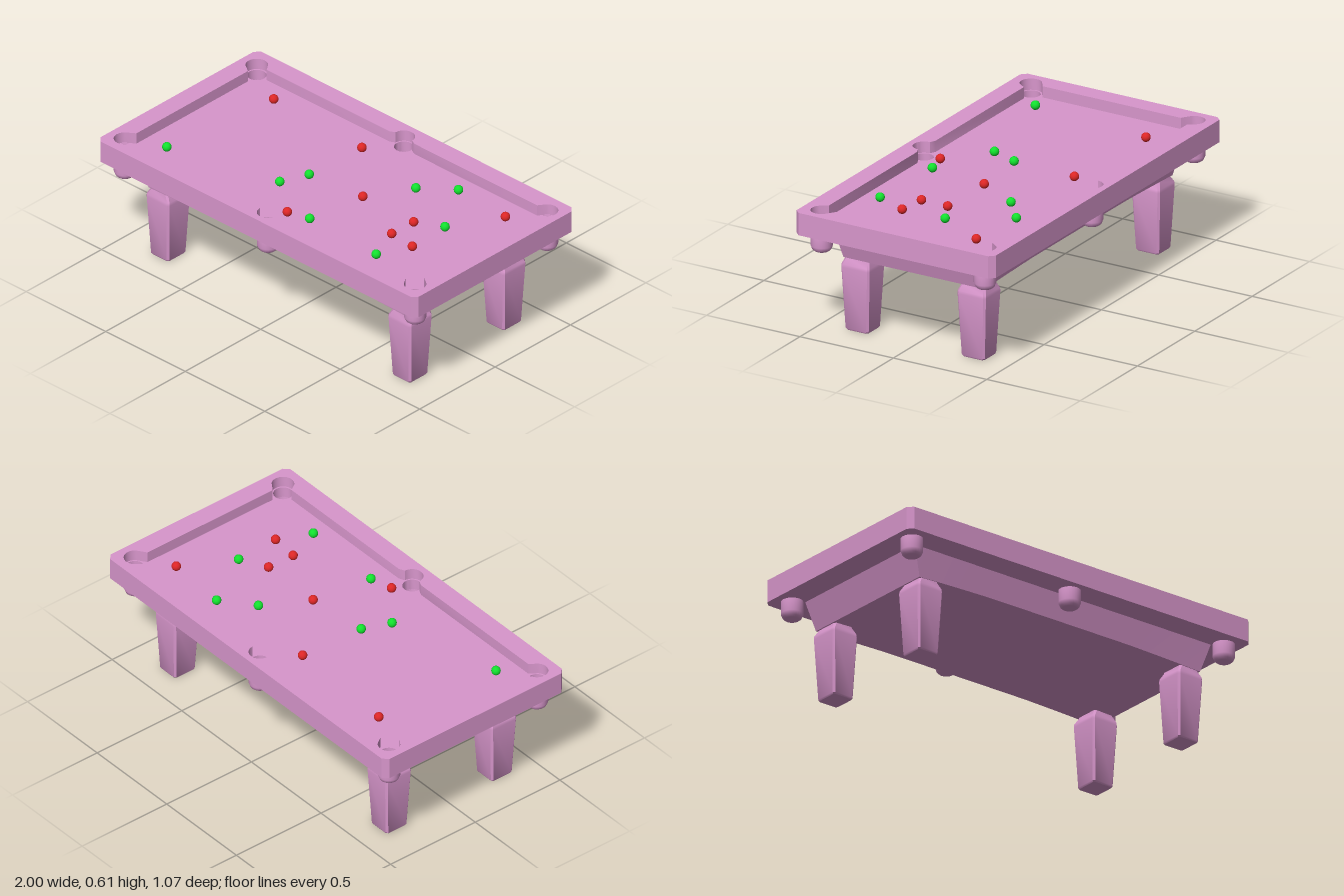
import * as THREE from 'three';
import { toCreasedNormals } from 'three/addons/utils/BufferGeometryUtils.js';

const TOP = 0.607, BED = 0.552, FRAME_BOTTOM = 0.497;
const CORNER = [0.912, 0.437], MIDDLE = [0, 0.45];

const wood = new THREE.MeshStandardMaterial({ color: 0xd896cc });
const red = new THREE.MeshStandardMaterial({ color: 0xdc2626 });
const green = new THREE.MeshStandardMaterial({ color: 0x12e02e });

// Pocket centres as [x, z]
const pockets = [];
for (const sz of [-1, 1]) {
  pockets.push([MIDDLE[0], sz * MIDDLE[1]]);
  for (const sx of [-1, 1]) pockets.push([sx * CORNER[0], sz * CORNER[1]]);
}

// Rectangle with cut corners, anticlockwise, as a list of Vector2
function cutRect(w, d, c) {
  return [[c - w, d], [-w, d - c], [-w, c - d], [c - w, -d], [w - c, -d], [w, c - d], [w, d - c], [w - c, d]]
    .map(([x, y]) => new THREE.Vector2(x, y));
}

function arc([cx, cy], r, from, to, steps) {
  return Array.from({ length: steps + 1 }, (_, i) => {
    const a = THREE.MathUtils.degToRad(from + (to - from) * i / steps);
    return [cx + r * Math.cos(a), cy + r * Math.sin(a)];
  });
}

// Inner edge of the rails: one quarter with its pocket jaws, mirrored round the table
function railOpening() {
  const quarter = [
    ...arc(MIDDLE, 0.052, 78, 0, 7), [0.08, 0.437],
    [0.85, 0.437], ...arc(CORNER, 0.052, 135, -45, 16), [0.904, 0.37],
  ];
  const flip = (pts, sx, sy) => pts.map(([x, y]) => [x * sx, y * sy]);
  const back = [...quarter].reverse();
  const all = [...quarter, ...flip(back, 1, -1), ...flip(quarter, -1, -1), ...flip(back, -1, 1)];
  return new THREE.Path(all.map(([x, y]) => new THREE.Vector2(x, y)));
}

// Horizontal slab between two heights
function slab(shape, y0, y1) {
  const g = new THREE.ExtrudeGeometry(shape, { depth: y1 - y0, bevelEnabled: false, curveSegments: 14 });
  return toCreasedNormals(g.rotateX(-Math.PI / 2).translate(0, y0, 0), 0.6);
}

// Leg lofted from cut-corner sections: [y, half width, half depth]
function legGeometry() {
  const rows = [[0, 0.053, 0.057], [0.008, 0.058, 0.062], [0.31, 0.072, 0.076],
    [0.325, 0.071, 0.075], [0.355, 0.053, 0.064], [0.38, 0.052, 0.063]];
  const rings = rows.map(([y, w, d]) => cutRect(w, d, 0.009).map(p => new THREE.Vector3(p.x, y, p.y)));
  const foot = rings[0], head = rings[rings.length - 1];
  const pos = [];
  const tri = (...pts) => pts.forEach(p => pos.push(p.x, p.y, p.z));
  for (let i = 0; i < 8; i++) {
    const j = (i + 1) % 8;
    for (let r = 0; r < rings.length - 1; r++) {
      const a = rings[r], b = rings[r + 1];
      // Ring order runs from +z round by -x, so this winding faces outwards
      tri(a[i], b[j], b[i]);
      tri(a[i], a[j], b[j]);
    }
    tri(new THREE.Vector3(0, foot[0].y, 0), foot[j], foot[i]);
    tri(new THREE.Vector3(0, head[0].y, 0), head[i], head[j]);
  }
  // Faces wound for a mirrored ring: swap two corners of each
  for (let t = 0; t < pos.length; t += 9) {
    for (let k = 0; k < 3; k++) [pos[t + 3 + k], pos[t + 6 + k]] = [pos[t + 6 + k], pos[t + 3 + k]];
  }
  const g = new THREE.BufferGeometry();
  g.setAttribute('position', new THREE.Float32BufferAttribute(pos, 3));
  return toCreasedNormals(g, 0.6);
}

// Apron: box tapering downwards, with a shallow arch along its lower edge
function apronGeometry() {
  const g = new THREE.BoxGeometry(2, 1, 2, 16, 1, 1).toNonIndexed();
  const p = g.attributes.position;
  for (let i = 0; i < p.count; i++) {
    const x = p.getX(i), low = p.getY(i) < 0;
    const arch = 0.356 + 0.013 * Math.min(1, 1.3 * (1 - x * x));
    p.setXYZ(i, x * (low ? 0.82 : 0.865), low ? arch : FRAME_BOTTOM, p.getZ(i) * (low ? 0.378 : 0.4));
  }
  return toCreasedNormals(g, 0.6);
}

export function createModel() {
  const group = new THREE.Group();
  const add = (name, geometry, material, x = 0, y = 0, z = 0) => {
    const m = new THREE.Mesh(geometry, material);
    m.name = name;
    m.position.set(x, y, z);
    group.add(m);
  };

  // Raised rails
  const rails = new THREE.Shape(cutRect(1, 0.533, 0.025));
  rails.holes.push(railOpening());
  add('rails', slab(rails, BED, TOP), wood);

  // Playing bed with pocket holes
  const bed = new THREE.Shape(cutRect(1, 0.533, 0.025));
  for (const [x, z] of pockets) bed.holes.push(new THREE.Path().absarc(x, -z, 0.045, 0, Math.PI * 2, true));
  add('bed', slab(bed, FRAME_BOTTOM, BED), wood);

  add('apron', apronGeometry(), wood);

  // Pocket cups: closed outside, hollow inside
  const cupProfile = [[0, 0.409], [0.034, 0.409], [0.044, 0.417], [0.052, 0.436], [0.052, 0.499],
    [0.045, 0.499], [0.045, 0.44], [0.032, 0.424], [0, 0.424]].map(([r, y]) => new THREE.Vector2(r, y));
  const cup = new THREE.LatheGeometry(cupProfile, 24);
  for (const [x, z] of pockets) add('pocketCup', cup, wood, x, 0, z);

  const leg = legGeometry();
  for (const sx of [-1, 1]) for (const sz of [-1, 1]) add('leg', leg, wood, sx * 0.76, 0, sz * 0.311);

  // Balls resting on the bed
  const ball = new THREE.SphereGeometry(0.022, 20, 14);
  const redBalls = [[-0.69, -0.315], [-0.11, -0.288], [0.775, -0.306], [0.183, 0.015],
    [0.502, 0.015], [0.499, 0.157], [0.643, 0.172], [0.024, 0.348]];
  const greenBalls = [[0.46, -0.327], [0.308, -0.205], [0.635, -0.053], [-0.126, 0.045],
    [-0.18, 0.183], [-0.76, 0.32], [0.138, 0.32], [0.57, 0.335]];
  for (const [x, z] of redBalls) add('redBall', ball, red, x, BED + 0.022, z);
  for (const [x, z] of greenBalls) add('greenBall', ball, green, x, BED + 0.022, z);

  return group;
}
